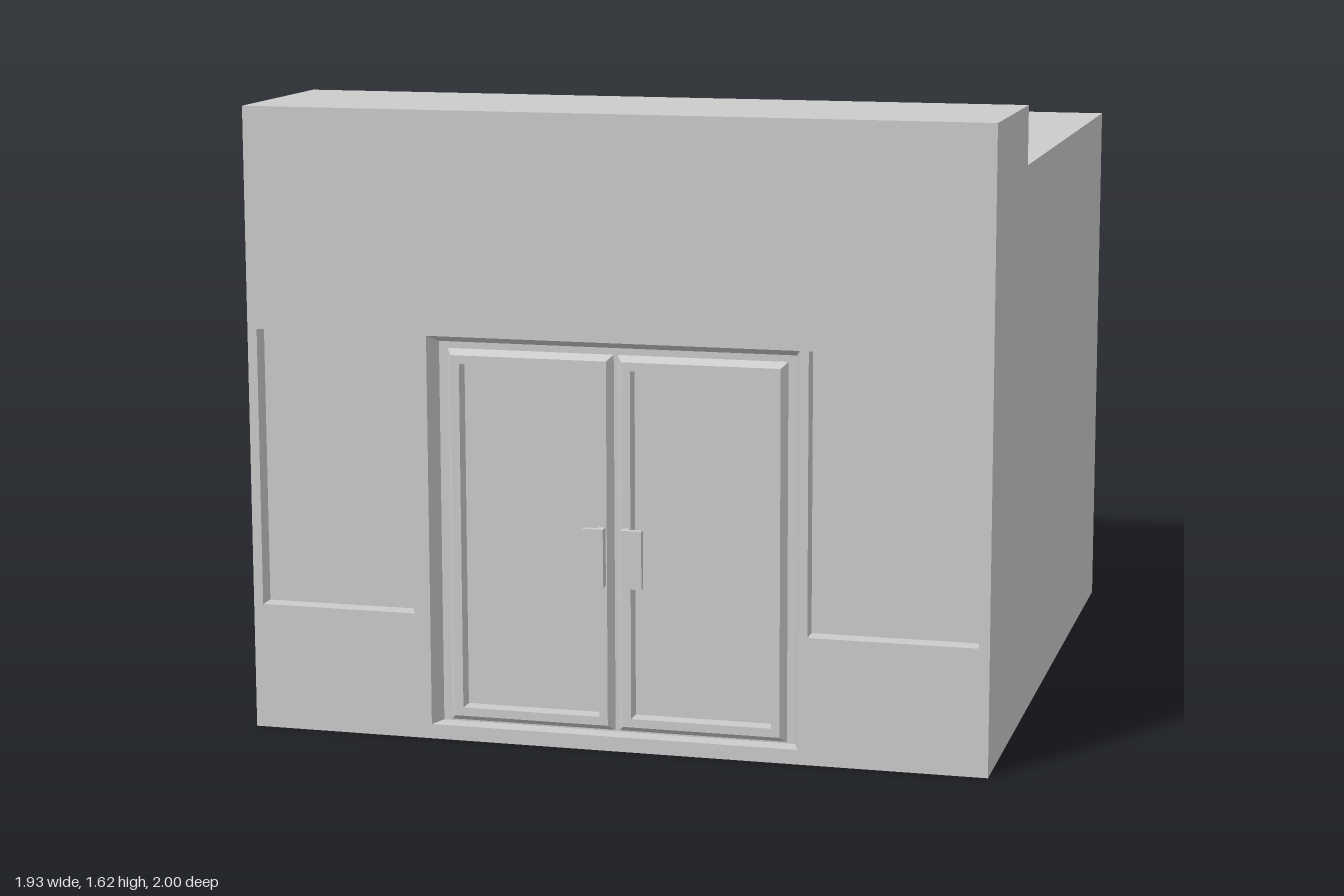
import * as THREE from 'three';

const W = 0.963; // half width
const material = new THREE.MeshStandardMaterial({ color: 0xcccccc, side: THREE.DoubleSide });

function add(parent, name, geometry) {
  const mesh = new THREE.Mesh(geometry, material);
  mesh.name = name;
  parent.add(mesh);
  return mesh;
}

// Flat-shaded geometry from a list of four-cornered faces
function quads(faces) {
  const pos = [];
  for (const [a, b, c, d] of faces) pos.push(...a, ...b, ...c, ...a, ...c, ...d);
  const g = new THREE.BufferGeometry();
  g.setAttribute('position', new THREE.Float32BufferAttribute(pos, 3));
  g.computeVertexNormals();
  return g;
}

const corners = ([x0, x1, y0, y1, z]) => [[x0, y0, z], [x1, y0, z], [x1, y1, z], [x0, y1, z]];

// Stepped rectangles [x0, x1, y0, y1, z] joined by walls; the last may be capped
function steps(rects, cap) {
  const faces = [];
  for (let i = 0; i + 1 < rects.length; i++) {
    const a = corners(rects[i]), b = corners(rects[i + 1]);
    for (let k = 0; k < 4; k++) {
      const n = (k + 1) % 4;
      faces.push([a[k], a[n], b[n], b[k]]);
    }
  }
  if (cap) faces.push(corners(rects[rects.length - 1]));
  return quads(faces);
}

// Flat wall facing +z with rectangular holes
function wall([x0, x1, y0, y1, z], holes) {
  const outline = (r) => corners(r).map(([x, y]) => new THREE.Vector2(x, y));
  const shape = new THREE.Shape(outline([x0, x1, y0, y1, z]));
  for (const h of holes) shape.holes.push(new THREE.Path(outline(h).reverse()));
  return new THREE.ShapeGeometry(shape).translate(0, 0, z);
}

export function createModel() {
  const model = new THREE.Group();
  model.name = 'shopBuilding';

  // Back wall, roof and parapet, swept across the width; open underneath
  const profile = [[-1, 0], [-1, 1.467], [0.5, 1.467], [0.5, 1.62], [1, 1.62]];
  const names = ['backWall', 'roof', 'parapetBack', 'parapetTop'];
  names.forEach((name, i) => {
    const [za, ya] = profile[i], [zb, yb] = profile[i + 1];
    add(model, name, quads([[[W, ya, za], [-W, ya, za], [-W, yb, zb], [W, yb, zb]]]));
  });

  // Side walls with the raised parapet end
  for (const s of [1, -1]) {
    const shape = new THREE.Shape([...profile, [1, 0]].map(([z, y]) => new THREE.Vector2(-s * z, y)));
    const g = new THREE.ShapeGeometry(shape).rotateY(s * Math.PI / 2).translate(s * W, 0, 0);
    add(model, s > 0 ? 'leftWall' : 'rightWall', g);
  }

  // Front wall with openings
  const windows = { leftWindow: [0.505, 0.936, 0.328, 1.05], rightWindow: [-0.938, -0.525, 0.328, 1.05] };
  const entrance = [-0.482, 0.482, 0.038, 1.05];
  add(model, 'frontWall', wall([-W, W, 0, 1.62, 1], [...Object.values(windows), entrance]));

  // Recessed windows
  for (const [name, r] of Object.entries(windows)) {
    add(model, name, steps([[...r, 1], [...r, 0.95]], true));
  }

  // Tapered entrance recess and the surface behind the doors
  const back = [-0.465, 0.465, 0.038, 1.03, 0.95];
  const doors = { leftDoor: [0.005, 0.443, 0.042, 1.013], rightDoor: [-0.443, -0.005, 0.042, 1.013] };
  add(model, 'entranceRecess', steps([[...entrance, 1], back], false));
  add(model, 'entranceBack', wall(back, Object.values(doors)));

  for (const [name, r] of Object.entries(doors)) {
    const door = new THREE.Group();
    door.name = name;
    model.add(door);
    const s = Math.sign(r[0]);
    const inset = (d, z) => [r[0] + d, r[1] - d, r[2] + d, r[3] - d, z];

    // Bevelled frame around a sunken panel
    add(door, 'doorFrameAndPanel', steps(
      [inset(0, 0.95), inset(0.015, 0.97), inset(0.037, 0.97), inset(0.037, 0.925)], true));

    // Handle: narrow mount on the stile carrying a wider grip
    add(door, 'handleMount', new THREE.BoxGeometry(0.018, 0.15, 0.018)).position.set(s * 0.032, 0.499, 0.975);
    add(door, 'handleGrip', new THREE.BoxGeometry(0.055, 0.15, 0.016)).position.set(s * 0.05, 0.499, 0.99);
  }
  return model;
}
